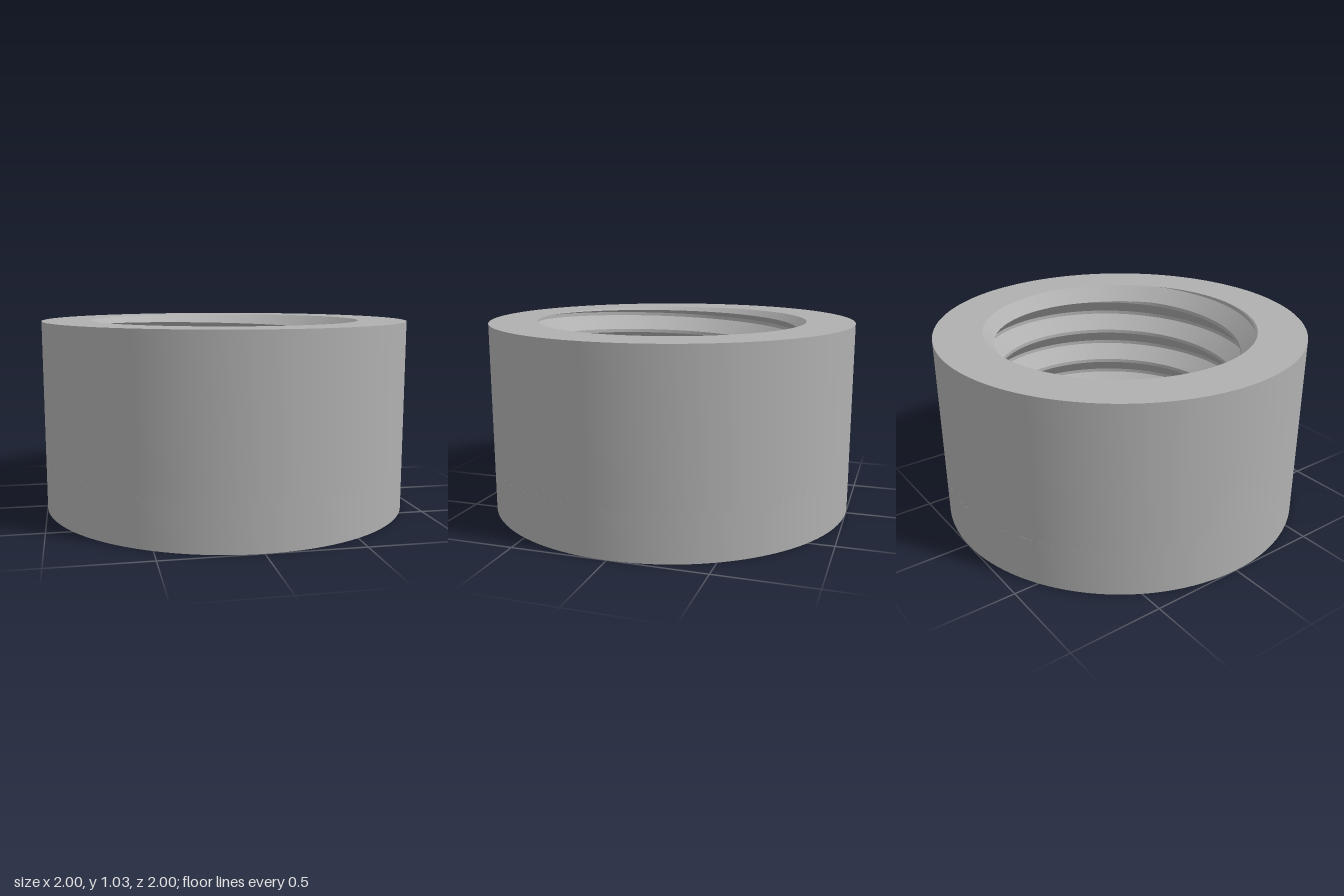
import * as THREE from 'three';
import { toCreasedNormals } from 'three/addons/utils/BufferGeometryUtils.js';

const H = 1.027, FLOOR = 0.25, DEPTH = H - FLOOR;   // total height, base thickness, threaded depth
const HOLE = 0.585, CREST = 0.66, ROOT = 0.74;      // bore radii
const PITCH = 0.2, FLAT = 0.02, FLANK = ROOT - CREST;
const SEG = 120;

const lift = (a) => PITCH * a / (2 * Math.PI);

// Bore radius at angle a and depth d: trapezoid thread, chamfered mouth, cone at the bottom
function boreRadius(a, d) {
  const v = (((d - lift(a)) % PITCH) + PITCH) % PITCH;
  let r = ROOT;
  if (v > FLAT + FLANK + FLAT) r = CREST + (v - 2 * FLAT - FLANK);
  else if (v > FLAT + FLANK) r = CREST;
  else if (v > FLAT) r = ROOT - (v - FLAT);
  return Math.min(Math.max(r, ROOT - d), HOLE + DEPTH - d);
}

// Depths where the bore profile bends, sorted so each row stays continuous round the bore
function bends(a) {
  const coneEnd = HOLE + DEPTH;
  const list = [0, FLANK, coneEnd - ROOT, coneEnd - CREST, DEPTH];
  for (let k = -1; k <= 4; k++) {
    const h = k * PITCH + lift(a);
    list.push(h, h + FLAT, h + FLAT + FLANK, h + 2 * FLAT + FLANK);
    list.push(h / 2, (coneEnd - ROOT + h) / 2);     // flank meets chamfer and bottom cone
  }
  return list.map((d) => THREE.MathUtils.clamp(d, 0, DEPTH)).sort((p, q) => p - q);
}

function threadGeometry() {
  const columns = [];
  for (let i = 0; i <= SEG; i++) {
    const a = (i / SEG) * Math.PI * 2;
    columns.push(bends(a).map((d) => {
      const r = boreRadius(a, d);
      return new THREE.Vector3(-r * Math.sin(a), H - d, r * Math.cos(a));
    }));
  }
  const pos = [];
  const tri = new THREE.Triangle();
  const add = (p, q, s) => {
    if (tri.set(p, q, s).getArea() > 1e-8) for (const t of [p, q, s]) pos.push(t.x, t.y, t.z);
  };
  for (let i = 0; i < SEG; i++) {
    const A = columns[i], B = columns[i + 1];
    for (let j = 0; j < A.length - 1; j++) {
      add(A[j], A[j + 1], B[j]);
      add(A[j + 1], B[j + 1], B[j]);
    }
  }
  const g = new THREE.BufferGeometry();
  g.setAttribute('position', new THREE.Float32BufferAttribute(pos, 3));
  return toCreasedNormals(g, 0.5);
}

// Disc with a D-shaped through hole, flat towards the front
function baseGeometry() {
  const disc = new THREE.Shape().absarc(0, 0, 1, 0, Math.PI * 2);
  const corner = Math.asin(0.44 / HOLE);
  const hole = new THREE.Path().absarc(0, 0, HOLE, -corner, Math.PI + corner);
  hole.closePath();
  disc.holes.push(hole);
  const g = new THREE.ExtrudeGeometry(disc, { depth: FLOOR, bevelEnabled: false, curveSegments: SEG });
  g.rotateX(-Math.PI / 2);
  return toCreasedNormals(g, 0.5);
}

// Outer wall and flat top rim
function wallGeometry() {
  const profile = [[1, FLOOR], [1, H], [ROOT, H]].map(([x, y]) => new THREE.Vector2(x, y));
  return toCreasedNormals(new THREE.LatheGeometry(profile, SEG), 0.5);
}

export function createModel() {
  const group = new THREE.Group();
  group.name = 'threadedCollar';
  const grey = new THREE.MeshStandardMaterial({ color: 0xb0b0b0 });
  grey.name = 'plain grey';
  const parts = { base: baseGeometry(), outerWall: wallGeometry(), internalThread: threadGeometry() };
  for (const [name, geometry] of Object.entries(parts)) {
    const mesh = new THREE.Mesh(geometry, grey);
    mesh.name = name;
    group.add(mesh);
  }
  return group;
}
